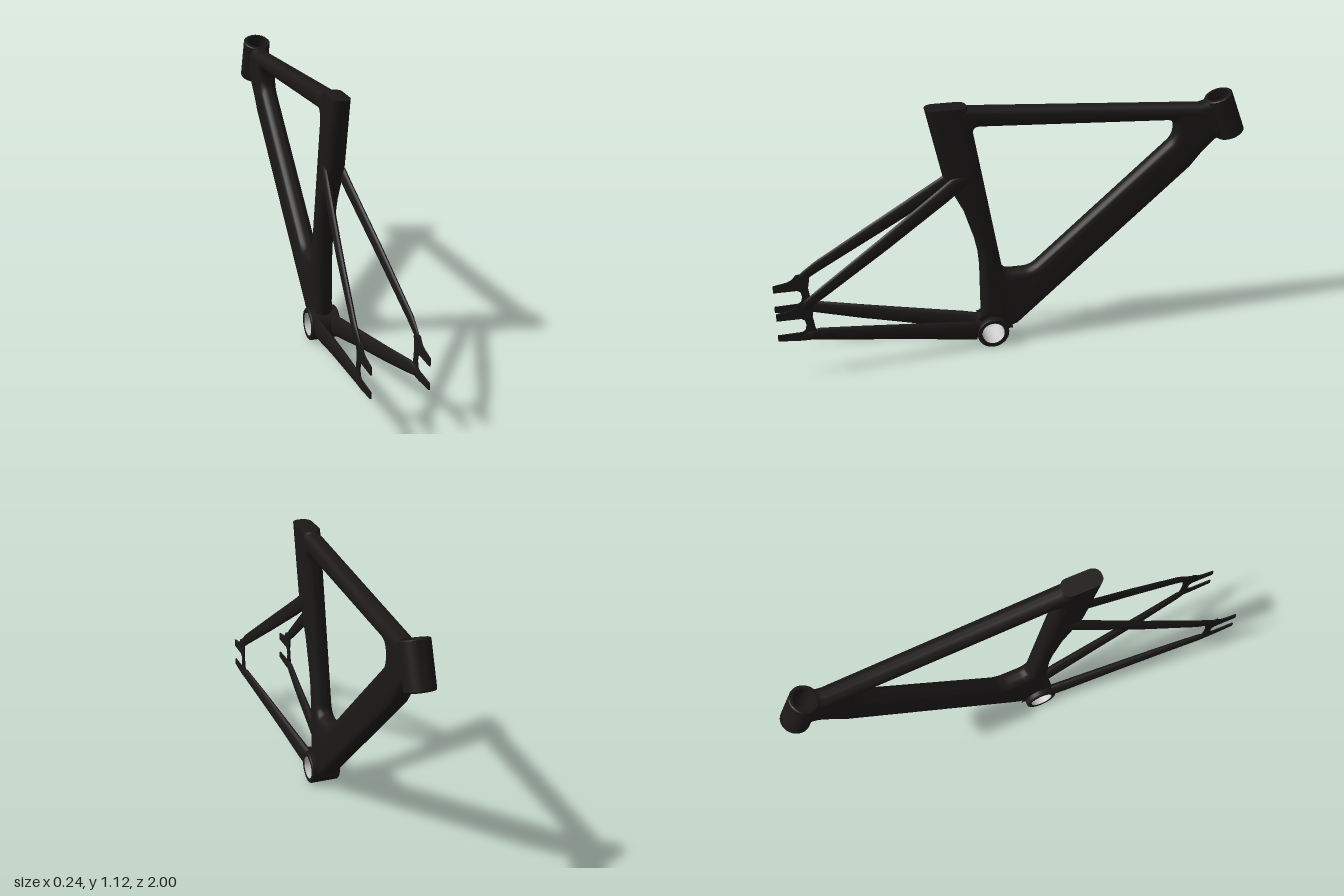
import * as THREE from 'three';
import { toCreasedNormals } from 'three/addons/utils/BufferGeometryUtils.js';

const paint = new THREE.MeshStandardMaterial({ color: 0x1b1817 });
const paintThin = new THREE.MeshStandardMaterial({ color: 0x1b1817, side: THREE.DoubleSide });
const metal = new THREE.MeshStandardMaterial({ color: 0xcccccc, side: THREE.DoubleSide });

// Side profiles are drawn as (z, y) pairs.
const BB = { z: 0.086, y: 0.069 };
const HEAD = { z: -0.911, y: 0.981, tilt: 0.359, length: 0.188 };
const toPoints = (list) => list.map(([z, y]) => new THREE.Vector2(z, y));

function part(name, geometry, material = paint) {
  const mesh = new THREE.Mesh(geometry, material);
  mesh.name = name;
  return mesh;
}

// Closed path whose corners are rounded with quadratic curves
function roundedPath(corners, radius) {
  const pts = toPoints(corners);
  const path = new THREE.Path();
  pts.forEach((p, i) => {
    const toward = (q) => p.clone().add(q.clone().sub(p).setLength(radius));
    const a = toward(pts[(i + pts.length - 1) % pts.length]);
    const b = toward(pts[(i + 1) % pts.length]);
    if (i === 0) path.moveTo(a.x, a.y);
    else path.lineTo(a.x, a.y);
    path.quadraticCurveTo(p.x, p.y, b.x, b.y);
  });
  path.closePath();
  return path;
}

// Hollow tube along y
function ring(inner, outer, length) {
  const h = length / 2, c = 0.004;
  const profile = toPoints([[inner, -h], [outer - c, -h], [outer, -h + c],
    [outer, h - c], [outer - c, h], [inner, h], [inner, -h]]);
  return toCreasedNormals(new THREE.LatheGeometry(profile, 40), 0.6);
}

// Oval tube through sections [x, y, z, half height, half width]
function loft(sections, sides = 16) {
  const pos = [], index = [];
  const n = sections.length;
  sections.forEach(([x, y, z, h, w], i) => {
    const a = sections[Math.max(i - 1, 0)], b = sections[Math.min(i + 1, n - 1)];
    const len = Math.hypot(b[1] - a[1], b[2] - a[2]);
    const ty = (b[1] - a[1]) / len, tz = (b[2] - a[2]) / len;
    for (let j = 0; j < sides; j++) {
      const t = (j / sides) * Math.PI * 2;
      const u = Math.cos(t) * w, v = Math.sin(t) * h;
      pos.push(x + u, y + tz * v, z - ty * v);
      if (i < n - 1) {
        const p = i * sides + j, q = i * sides + ((j + 1) % sides);
        index.push(p, q, p + sides, q, q + sides, p + sides);
      }
    }
  });
  const last = (n - 1) * sides;
  for (let j = 1; j < sides - 1; j++) {
    index.push(0, j + 1, j, last, last + j, last + j + 1);
  }
  const g = new THREE.BufferGeometry();
  g.setAttribute('position', new THREE.Float32BufferAttribute(pos, 3));
  g.setIndex(index);
  return toCreasedNormals(g, 0.7);
}

// Seat tube, top tube and down tube as one rounded body with a window
function mainFrame() {
  const outline = [
    [0.13, 0.17], [0.134, 0.38], [0.141, 0.45], [0.155, 0.513], [0.198, 0.647],
    [0.255, 0.76], [0.283, 0.818], [0.35, 1.155], [0.18, 1.155], [0.175, 1.113],
    [-0.8, 1.042], [-0.89, 1.072], [-0.96, 0.91], [-0.872, 0.877],
    [-0.813, 0.815], [-0.77, 0.76], [-0.03, 0.083],
  ];
  for (let i = 0; i <= 12; i++) {
    const a = 3.3 - (i / 12) * 2.7;
    outline.push([BB.z + 0.055 * Math.cos(a), BB.y + 0.055 * Math.sin(a)]);
  }
  const shape = new THREE.Shape(toPoints(outline));
  shape.holes.push(roundedPath([[0.16, 1.027], [-0.692, 0.978], [-0.692, 0.9],
    [-0.086, 0.348], [0.035, 0.348]], 0.033));
  const g = new THREE.ExtrudeGeometry(shape, {
    depth: 0.01, bevelThickness: 0.035, bevelSize: 0.035, bevelOffset: -0.035,
    bevelSegments: 6, curveSegments: 6,
  });
  g.translate(0, 0, -0.005);
  g.rotateY(-Math.PI / 2);

  // Trim the seat top flat, and fit the ends to the bracket shell and head tube
  const p = g.attributes.position;
  const nz = Math.cos(HEAD.tilt), ny = -Math.sin(HEAD.tilt);
  for (let i = 0; i < p.count; i++) {
    const x = p.getX(i);
    let y = Math.min(p.getY(i), 1.118), z = p.getZ(i);
    const r = Math.hypot(z - BB.z, y - BB.y);
    if (r < 0.09) {
      z = BB.z + ((z - BB.z) * 0.055) / r;
      y = BB.y + ((y - BB.y) * 0.055) / r;
    }
    const d = (z - HEAD.z) * nz + (y - HEAD.y) * ny;
    const push = Math.max(0, Math.sqrt(0.052 ** 2 - x * x) - d);
    p.setXYZ(i, x, y + ny * push, z + nz * push);
  }
  return toCreasedNormals(g, 0.6);
}

// Thin plate with an open axle slot
function dropout() {
  const shape = new THREE.Shape(toPoints([
    [1, 0.315], [0.94, 0.326], [0.92, 0.335], [0.9, 0.358], [0.85, 0.36], [0.845, 0.335],
    [0.853, 0.29], [0.845, 0.235], [0.834, 0.2], [0.84, 0.178], [0.9, 0.178],
    [1, 0.187], [1, 0.214], [0.9, 0.217], [0.886, 0.225], [0.88, 0.25],
    [0.886, 0.275], [0.9, 0.283], [1, 0.283],
  ]));
  const g = new THREE.ExtrudeGeometry(shape, { depth: 0.006, bevelEnabled: false });
  g.translate(0, 0, -0.003);
  g.rotateY(-Math.PI / 2);
  g.translate(0.114, 0, 0);
  return g;
}

// One side of the rear triangle
function rearSide(name) {
  const side = new THREE.Group();
  side.name = name;
  side.add(part('seatStay', loft([
    [0.03, 0.805, 0.19, 0.03, 0.012],
    [0.036, 0.785, 0.235, 0.034, 0.014],
    [0.044, 0.745, 0.29, 0.034, 0.013],
    [0.08, 0.57, 0.545, 0.03, 0.012],
    [0.112, 0.392, 0.81, 0.024, 0.01],
    [0.114, 0.35, 0.868, 0.02, 0.006],
    [0.114, 0.33, 0.895, 0.012, 0.003],
  ])));
  side.add(part('chainStay', loft([
    [0.038, 0.078, 0.15, 0.045, 0.02],
    [0.044, 0.088, 0.2, 0.045, 0.02],
    [0.066, 0.128, 0.42, 0.037, 0.017],
    [0.088, 0.165, 0.64, 0.033, 0.014],
    [0.11, 0.199, 0.83, 0.028, 0.011],
    [0.114, 0.2, 0.87, 0.02, 0.006],
    [0.114, 0.2, 0.9, 0.012, 0.003],
  ])));
  side.add(part('dropout', dropout(), paintThin));
  return side;
}

export function createModel() {
  const model = new THREE.Group();
  model.name = 'bicycleFrame';
  model.add(part('mainFrame', mainFrame()));

  const head = part('headTube', ring(0.045, 0.06, HEAD.length));
  head.position.set(0, HEAD.y, HEAD.z);
  head.rotation.x = HEAD.tilt;
  model.add(head);

  // Bottom bracket shell with a bare metal lining
  const bracket = new THREE.Group();
  bracket.name = 'bottomBracket';
  bracket.add(part('bracketShell', ring(0.05, 0.069, 0.126)));
  bracket.add(part('bracketLining',
    new THREE.CylinderGeometry(0.048, 0.048, 0.125, 40, 1, true), metal));
  bracket.position.set(0, BB.y, BB.z);
  bracket.rotation.z = Math.PI / 2;
  model.add(bracket);

  const left = rearSide('rearLeft');
  const right = rearSide('rearRight');
  right.scale.x = -1;
  model.add(left, right);
  return model;
}
